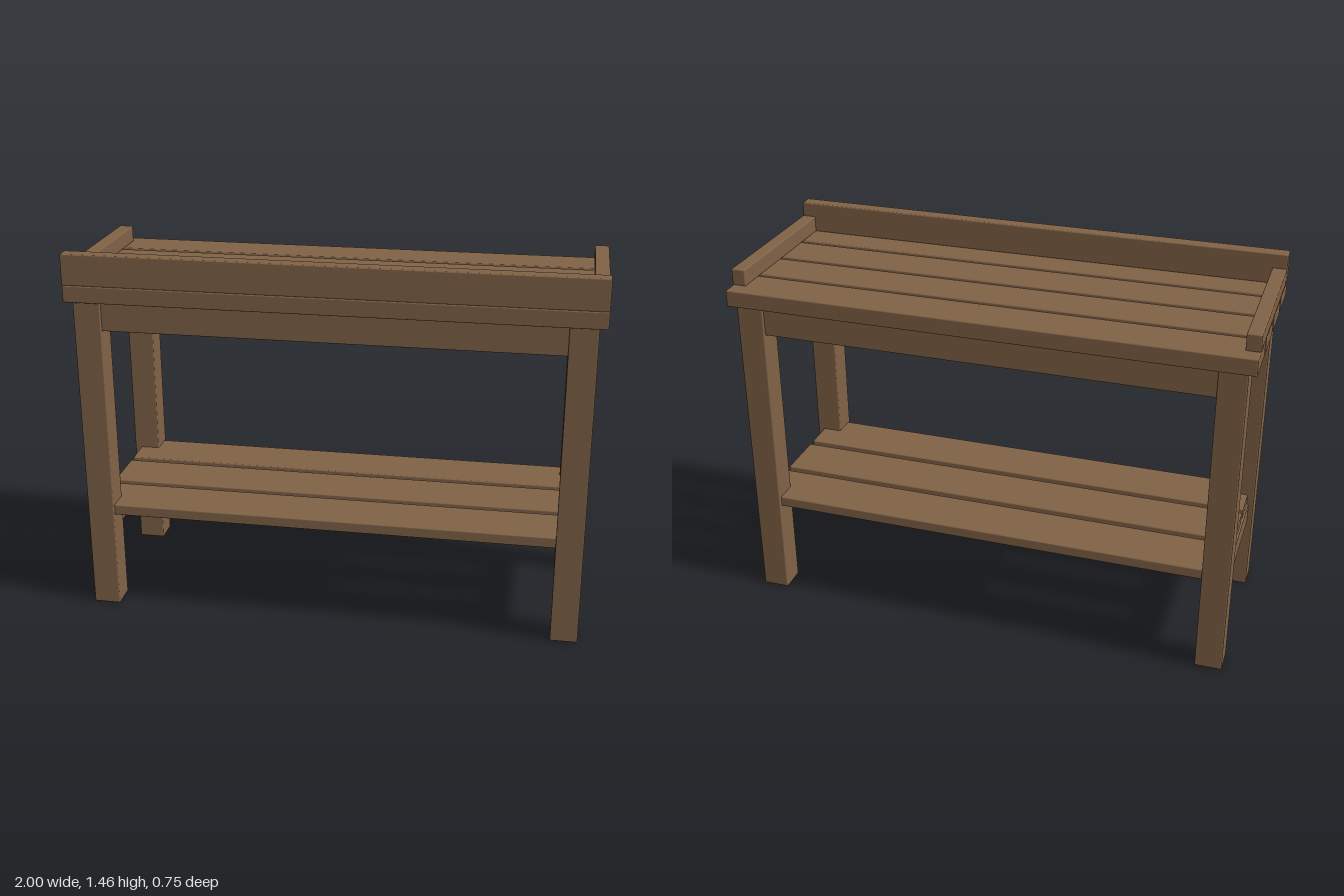
import * as THREE from 'three';
import { RoundedBoxGeometry } from 'three/addons/geometries/RoundedBoxGeometry.js';

export function createModel() {
  const bench = new THREE.Group();
  bench.name = 'pottingBench';
  const wood = new THREE.MeshStandardMaterial({ color: 0x806246 });
  wood.name = 'brownWood';

  // One board with softened edges, given by its limits on each axis
  function board(name, [x0, x1], [y0, y1], [z0, z1]) {
    const geometry = new RoundedBoxGeometry(x1 - x0, y1 - y0, z1 - z0, 2, 0.005);
    const mesh = new THREE.Mesh(geometry, wood);
    mesh.name = name;
    mesh.position.set((x0 + x1) / 2, (y0 + y1) / 2, (z0 + z1) / 2);
    bench.add(mesh);
  }
  // Limits mirrored to the chosen side of an axis
  const side = (s, a, b) => (s > 0 ? [a, b] : [-b, -a]);

  for (const sx of [1, -1]) {
    const lr = sx > 0 ? 'left' : 'right';
    // Legs
    for (const sz of [1, -1]) {
      const fb = sz > 0 ? 'Front' : 'Back';
      board(`${lr}${fb}Leg`, side(sx, 0.865, 0.97), [0, 1.27], side(sz, 0.25, 0.355));
    }
    // Cross rails carrying the shelf, let into the legs
    board(`${lr}ShelfRail`, side(sx, 0.885, 0.95), [0.3, 0.39], [-0.27, 0.27]);
    // Raised strips at the ends of the worktop
    board(`${lr}TopStrip`, side(sx, 0.945, 1), [1.335, 1.4], [-0.315, 0.318]);
  }

  // Long aprons under the worktop
  for (const sz of [1, -1]) {
    board(sz > 0 ? 'frontApron' : 'backApron', [-0.88, 0.88], [1.155, 1.27], side(sz, 0.28, 0.343));
  }

  // Worktop planks
  for (let i = 0; i < 4; i++) {
    const z = 0.374 - i * 0.1917;
    board(`topPlank${i + 1}`, [-1, 1], [1.27, 1.335], [z - 0.173, z]);
  }

  // Upright lip along the front
  board('frontLip', [-1, 1], [1.335, 1.455], [0.318, 0.374]);

  // Shelf planks, the outer two let into the legs
  for (let i = -1; i <= 1; i++) {
    const z = i * 0.236;
    board(`shelfPlank${i + 2}`, [-0.943, 0.943], [0.39, 0.433], [z - 0.104, z + 0.104]);
  }

  return bench;
}
